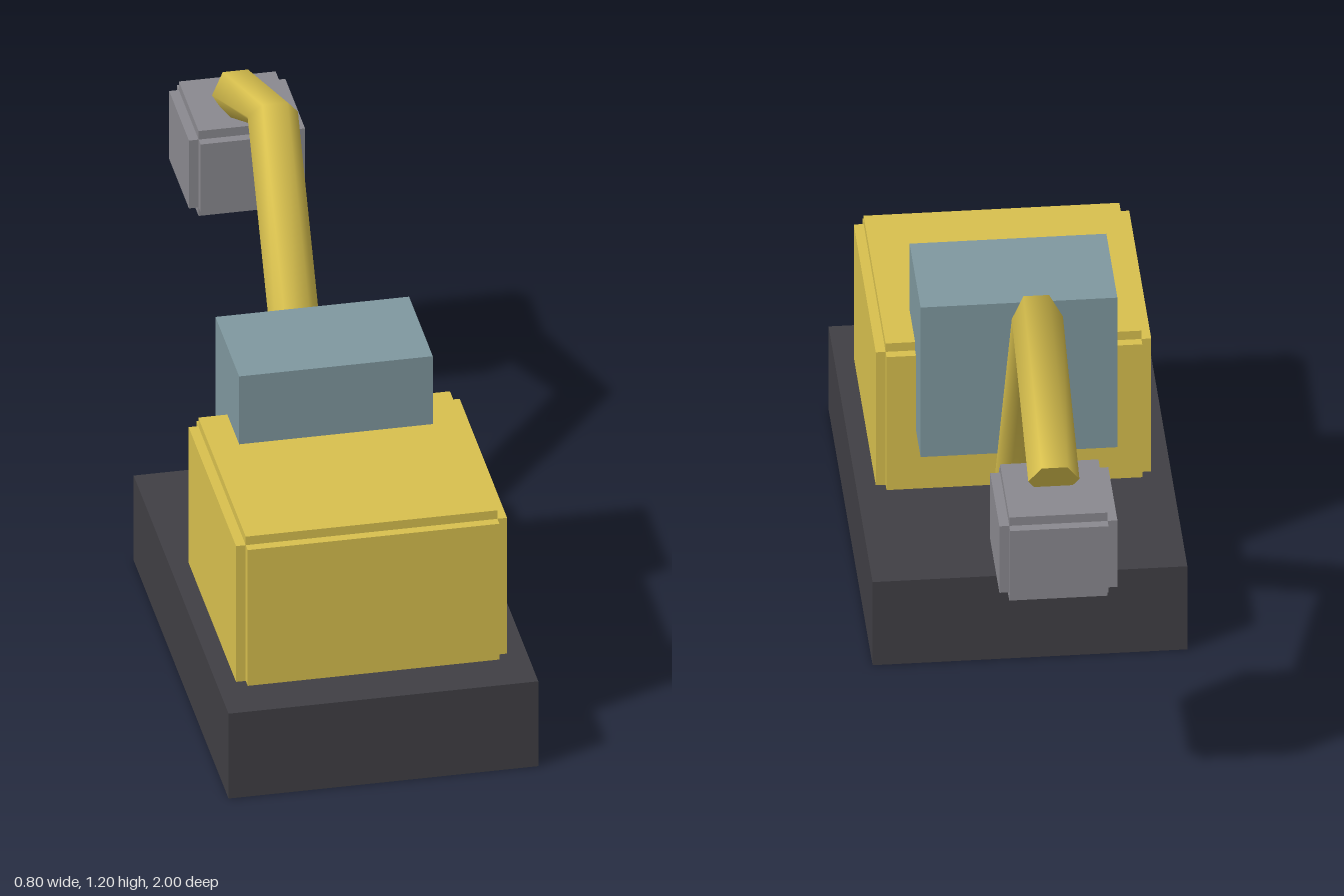
import * as THREE from 'three';

const paint = (color) => new THREE.MeshStandardMaterial({ color });
const YELLOW = 0xd8c04e, DARK = 0x403f44, BLUE = 0x7f989f, GREY = 0x8a898f;

function box(name, size, centre, material) {
  const mesh = new THREE.Mesh(new THREE.BoxGeometry(...size), material);
  mesh.name = name;
  mesh.position.set(...centre);
  return mesh;
}

// Block with stepped edges: three crossed boxes, each full length along one axis only
function steppedBlock(name, size, centre, step, color) {
  const group = new THREE.Group();
  group.name = name;
  const material = paint(color);
  ['Width', 'Height', 'Depth'].forEach((label, axis) => {
    const s = size.map((v, i) => (i === axis ? v : v - 2 * step));
    group.add(box(name + label, s, centre, material));
  });
  return group;
}

// Capped tube through points in the x = 0 plane, one ring of vertices per point
function bentTube(points, radius, sides) {
  const pos = [], index = [];
  const xAxis = new THREE.Vector3(1, 0, 0);
  const last = points.length - 1;
  const addRing = (i) => {
    const start = pos.length / 3;
    // The tangent runs between the neighbouring points
    const tangent = points[Math.min(i + 1, last)].clone().sub(points[Math.max(i - 1, 0)]).normalize();
    const normal = tangent.cross(xAxis);
    for (let j = 0; j < sides; j++) {
      const a = (j / sides) * Math.PI * 2;
      const p = points[i].clone()
        .addScaledVector(xAxis, radius * Math.cos(a))
        .addScaledVector(normal, radius * Math.sin(a));
      pos.push(p.x, p.y, p.z);
    }
    return start;
  };
  // Smooth wall
  const rings = points.map((_, i) => addRing(i));
  for (let i = 0; i < last; i++) {
    for (let j = 0; j < sides; j++) {
      const k = (j + 1) % sides;
      const a = rings[i] + j, b = rings[i] + k, c = rings[i + 1] + k, d = rings[i + 1] + j;
      index.push(a, b, c, a, c, d);
    }
  }
  // Flat end caps with their own vertices
  const first = addRing(0), end = addRing(last);
  for (let j = 1; j < sides - 1; j++) {
    index.push(first, first + j + 1, first + j, end, end + j, end + j + 1);
  }
  const geometry = new THREE.BufferGeometry();
  geometry.setAttribute('position', new THREE.Float32BufferAttribute(pos, 3));
  geometry.setIndex(index);
  geometry.computeVertexNormals();
  return geometry;
}

export function createModel() {
  const model = new THREE.Group();
  model.name = 'excavator';

  // Track base, engine body and cab
  model.add(box('trackBase', [0.8, 0.25, 1.2], [0, 0.125, 0.4], paint(DARK)));
  model.add(steppedBlock('body', [0.7, 0.45, 0.65], [0, 0.45, 0.55], 0.025, YELLOW));
  model.add(box('cab', [0.5, 0.45, 0.3], [0, 0.65, 0.25], paint(BLUE)));

  // Bent digging arm
  const path = [[0.4, 0.05], [1.15, -0.4], [0.95, -0.85]].map(([y, z]) => new THREE.Vector3(0, y, z));
  const arm = new THREE.Mesh(bentTube(path, 0.065, 6), paint(YELLOW));
  arm.name = 'arm';
  model.add(arm);

  // Bucket at the end of the arm
  model.add(steppedBlock('bucket', [0.3, 0.25, 0.3], [0, 0.8, -0.85], 0.025, GREY));

  return model;
}
